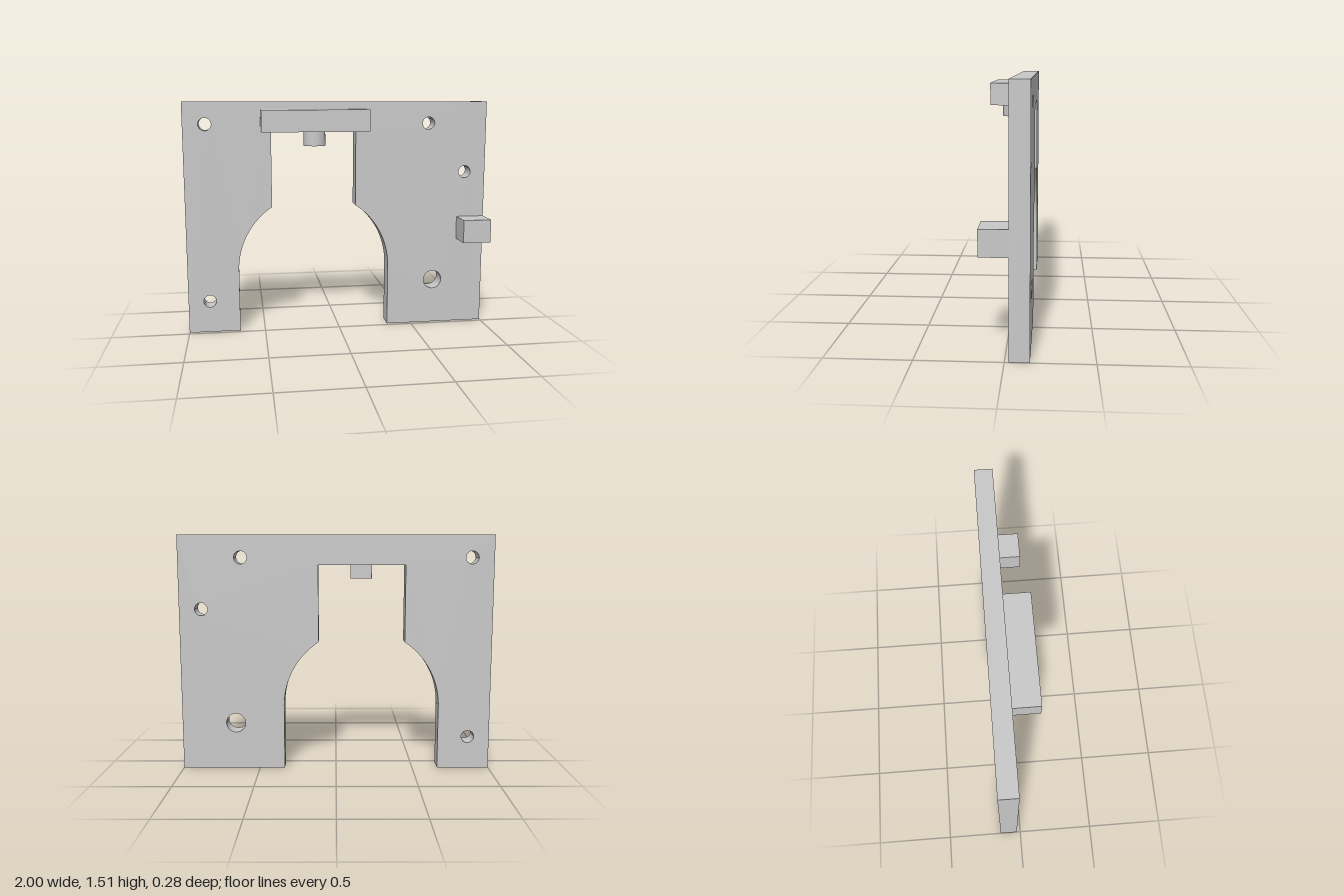
import * as THREE from 'three';
import { toCreasedNormals } from 'three/addons/utils/BufferGeometryUtils.js';

const BACK = -0.139, FACE = -0.025, FRONT = 0.139;
const ARCH_X = -0.164, SLOT_TOP = 1.327;

export function createModel() {
  const model = new THREE.Group();
  const grey = new THREE.MeshStandardMaterial({ color: 0xc8c8c8 });
  grey.name = 'light grey';

  const add = (name, geometry) => {
    const mesh = new THREE.Mesh(geometry, grey);
    mesh.name = name;
    model.add(mesh);
    return mesh;
  };
  const extrude = (shape, depth) => toCreasedNormals(
    new THREE.ExtrudeGeometry(shape, { depth, bevelEnabled: false, curveSegments: 32 }), 0.5);
  const box = (name, x0, x1, y0, y1) => add(name,
    new THREE.BoxGeometry(x1 - x0, y1 - y0, FRONT - FACE))
    .position.set((x0 + x1) / 2, (y0 + y1) / 2, (FACE + FRONT) / 2);

  // Plate outline with a stepped arch: straight legs, arcs, then a square slot
  const radius = 0.501, slot = 0.277, springY = 0.416;
  const a = Math.acos(slot / radius);
  const plate = new THREE.Shape();
  plate.moveTo(-1, 0);
  plate.lineTo(ARCH_X - radius, 0);
  plate.lineTo(ARCH_X - radius, springY);
  plate.absarc(ARCH_X, springY, radius, Math.PI, Math.PI - a, true);
  plate.lineTo(ARCH_X - slot, SLOT_TOP);
  plate.lineTo(ARCH_X + slot, SLOT_TOP);
  plate.absarc(ARCH_X, springY, radius, a, 0, true);
  plate.lineTo(ARCH_X + radius, 0);
  plate.lineTo(1, 0);
  plate.lineTo(1, 1.515);
  plate.lineTo(-1, 1.515);
  plate.closePath();

  // Screw holes and one larger hole
  const holes = [
    [-0.86, 1.373, 0.041], [0.604, 1.373, 0.041], [-0.86, 0.21, 0.041],
    [0.86, 1.046, 0.041], [0.652, 0.303, 0.062],
  ];
  for (const [x, y, r] of holes) {
    plate.holes.push(new THREE.Path().absarc(x, y, r, 0, Math.PI * 2, true));
  }
  add('plate', extrude(plate, FACE - BACK)).position.z = BACK;

  // Bar over the slot and block on the side edge
  box('topBar', -0.508, 0.179, SLOT_TOP, 1.465);
  box('sideBlock', 0.813, 1, 0.587, 0.74);

  // D-shaped peg under the bar, flat at the back, round at the front
  const flat = 0.19;
  const peg = new THREE.Shape();
  peg.absarc(0, 0, 0.07, -Math.PI - flat, flat, false);
  peg.closePath();
  const pegMesh = add('peg', extrude(peg, SLOT_TOP - 1.235));
  pegMesh.rotation.x = -Math.PI / 2;
  pegMesh.position.set(ARCH_X, 1.235, 0.014);

  return model;
}
